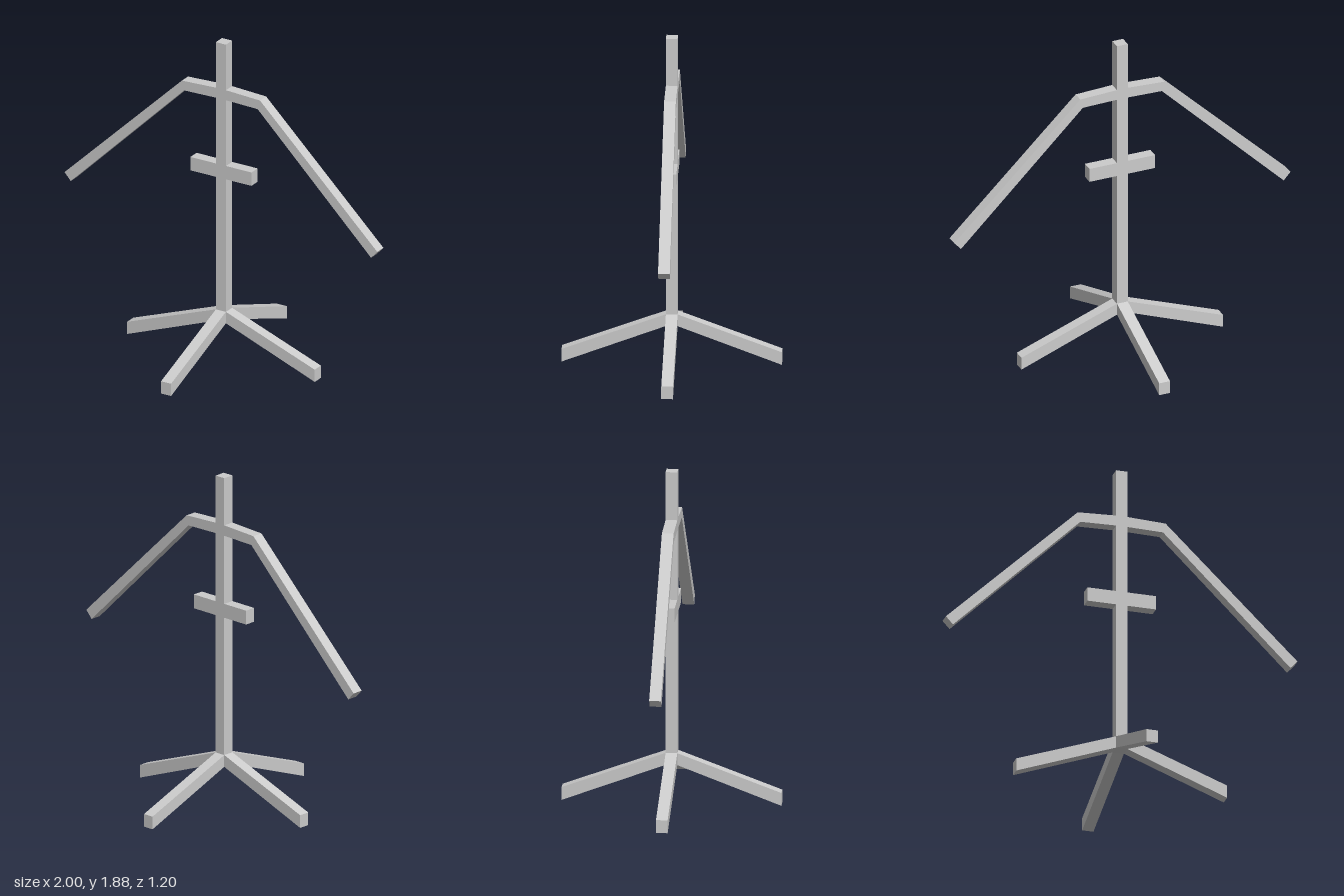
import * as THREE from 'three';

const H = 0.032; // half thickness of the square timber

export function createModel() {
  const group = new THREE.Group();
  const material = new THREE.MeshStandardMaterial({ color: 0xcccccc, flatShading: true });

  // Flat bar: an outline in x/y, extruded to the timber thickness along z
  function bar(name, points) {
    const shape = new THREE.Shape(points.map(([x, y]) => new THREE.Vector2(x, y)));
    const geometry = new THREE.ExtrudeGeometry(shape, { depth: 2 * H, bevelEnabled: false });
    geometry.translate(0, 0, -H);
    const mesh = new THREE.Mesh(geometry, material);
    mesh.name = name;
    group.add(mesh);
    return mesh;
  }

  // Upright post
  bar('post', [[-H, 0.215], [H, 0.215], [H, 1.88], [-H, 1.88]]);

  // Short crossbar
  bar('crossbar', [[-0.195, 1.075], [0.195, 1.075], [0.195, 1.155], [-0.195, 1.155]]);

  // Shoulder piece with two drooping arms, bent at the elbows
  const half = [[H, 1.548], [0.235, 1.543], [0.96, 0.828], [1, 0.872], [0.25, 1.598], [H, 1.608]];
  const mirrored = half.map(([x, y]) => [-x, y]).reverse();
  bar('arms', [...half, ...mirrored]);

  // Four sloping feet around the post
  for (let i = 0; i < 4; i++) {
    const foot = bar('foot' + (i + 1), [[H, 0.215], [0.6, 0], [0.6, 0.073], [H, 0.283]]);
    foot.rotation.y = (i * Math.PI) / 2;
  }
  return group;
}
